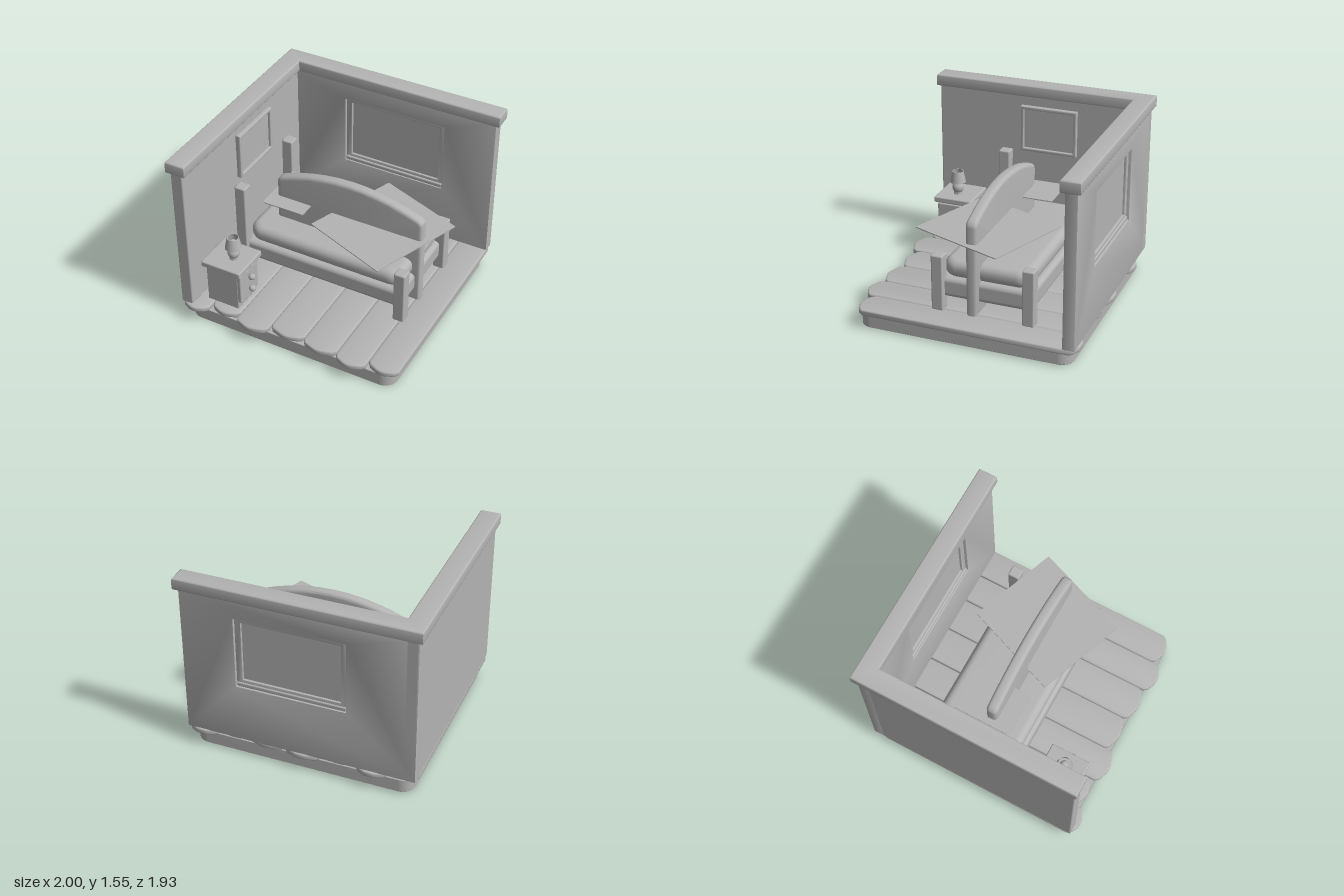
import * as THREE from 'three';
import { toCreasedNormals } from 'three/addons/utils/BufferGeometryUtils.js';
import { RoundedBoxGeometry } from 'three/addons/geometries/RoundedBoxGeometry.js';

export function createModel() {
  const room = new THREE.Group();
  room.name = 'bedroom';
  const clay = new THREE.MeshStandardMaterial({ color: 0xb4b4b4, side: THREE.DoubleSide });
  clay.name = 'clay grey';

  const add = (name, geometry) => {
    const mesh = new THREE.Mesh(geometry, clay);
    mesh.name = name;
    room.add(mesh);
    return mesh;
  };

  // Rounded block given by its extents on each axis
  const block = (name, [x0, x1], [y0, y1], [z0, z1], r = 0.012, seg = 3) => {
    const mesh = add(name, new RoundedBoxGeometry(x1 - x0, y1 - y0, z1 - z0, seg, r));
    mesh.position.set((x0 + x1) / 2, (y0 + y1) / 2, (z0 + z1) / 2);
    return mesh;
  };

  const polygon = (points) => new THREE.Shape(points.map(([x, y]) => new THREE.Vector2(x, y)));

  const rectangle = (x0, x1, y0, y1, r = 0) => {
    if (!r) return polygon([[x0, y0], [x1, y0], [x1, y1], [x0, y1]]);
    const s = new THREE.Shape();
    s.absarc(x1 - r, y0 + r, r, -Math.PI / 2, 0);
    s.absarc(x1 - r, y1 - r, r, 0, Math.PI / 2);
    s.absarc(x0 + r, y1 - r, r, Math.PI / 2, Math.PI);
    s.absarc(x0 + r, y0 + r, r, Math.PI, Math.PI * 1.5);
    s.closePath();
    return s;
  };

  // Bevelled extrusion filling a given thickness, starting at z = 0
  const extrude = (shape, thickness, bevel, bevelSegments = 3) => {
    const g = new THREE.ExtrudeGeometry(shape, {
      depth: thickness - 2 * bevel, bevelEnabled: bevel > 0, bevelThickness: bevel,
      bevelSize: bevel, bevelOffset: -bevel, bevelSegments, curveSegments: 10,
    });
    return toCreasedNormals(g.translate(0, 0, bevel), 0.7);
  };

  // Horizontal slab whose outline is drawn in x and z
  const slab = (name, shape, y0, y1, bevel, seg) => {
    const g = extrude(shape, y1 - y0, bevel, seg).rotateX(Math.PI / 2);
    return add(name, g.translate(0, y1, 0));
  };

  // Base and floor planks with bowed ends
  slab('base', rectangle(-0.93, 0.93, -0.9, 0.89, 0.11), 0, 0.118, 0.004, 1);
  const seams = [-0.97, -0.73, -0.467, -0.175, 0.133, 0.438, 0.703, 0.968];
  const frontEnds = [0.965, 0.9, 0.96, 0.905, 0.93, 0.96, 0.905];
  frontEnds.forEach((front, i) => {
    const a = seams[i] + 0.002, b = seams[i + 1] - 0.002, m = (a + b) / 2;
    const back = front - 1.865;
    const outline = polygon([
      [a, back + 0.07], [a + 0.025, back + 0.035], [m - 0.04, back + 0.006], [m + 0.04, back + 0.006],
      [b - 0.025, back + 0.035], [b, back + 0.07],
      [b, front - 0.07], [b - 0.025, front - 0.035], [m + 0.04, front - 0.006], [m, front],
      [m - 0.04, front - 0.006], [a + 0.025, front - 0.035], [a, front - 0.07],
    ]);
    slab('floorPlank', outline, 0.115, 0.166, 0.014);
  });

  // Walls, with a window opening in the back one
  block('leftWall', [-0.97, -0.865], [0.16, 1.46], [-0.94, 0.93]);
  const backWall = rectangle(-0.97, 0.965, 0.16, 1.46);
  backWall.holes.push(rectangle(-0.4, 0.515, 0.665, 1.285));
  add('backWall', extrude(backWall, 0.1, 0.006, 2).translate(0, 0, -0.94));

  // Cap running along both walls
  slab('wallCap', polygon([
    [-1, -0.97], [1, -0.97], [1, -0.81], [-0.83, -0.81], [-0.83, 0.95], [-1, 0.95],
  ]), 1.45, 1.55, 0.012);

  // Window
  const windowFrame = rectangle(-0.41, 0.525, 0.655, 1.295);
  windowFrame.holes.push(rectangle(-0.35, 0.465, 0.725, 1.245));
  add('windowFrame', extrude(windowFrame, 0.05, 0.006, 2).translate(0, 0, -0.915));
  block('windowPane', [-0.36, 0.475], [0.715, 1.255], [-0.895, -0.885], 0.002, 1);
  block('windowSill', [-0.4, 0.515], [0.66, 0.7], [-0.925, -0.85], 0.012);

  // Picture on the left wall
  const pictureFrame = rectangle(-0.17, 0.33, 0.96, 1.365);
  pictureFrame.holes.push(rectangle(-0.142, 0.302, 0.988, 1.337));
  add('pictureFrame', extrude(pictureFrame, 0.045, 0.008).rotateY(Math.PI / 2).translate(-0.867, 0, 0));
  block('picture', [-0.867, -0.845], [0.98, 1.345], [-0.31, 0.15], 0.002, 1);

  // Bed posts, frame and mattress
  for (const z of [-0.485, 0.278]) {
    block('tallBedPost', [-0.8, -0.703], [0.166, 0.98], [z - 0.049, z + 0.049]);
    block('shortBedPost', [0.65, 0.747], [0.166, 0.64], [z - 0.049, z + 0.049]);
  }
  block('bedFrame', [-0.76, 0.7], [0.27, 0.44], [-0.505, 0.295], 0.04, 5);
  slab('mattress', rectangle(-0.73, 0.675, -0.475, 0.27, 0.12), 0.43, 0.58, 0.065, 6);

  // Arched board standing lengthwise through the bed
  const arch = new THREE.Shape();
  arch.moveTo(-0.575, 0.166);
  arch.lineTo(0.745, 0.166);
  arch.lineTo(0.745, 0.92);
  arch.quadraticCurveTo(0.745, 0.965, 0.69, 0.985);
  arch.bezierCurveTo(0.29, 1.143, -0.12, 1.143, -0.52, 0.985);
  arch.quadraticCurveTo(-0.575, 0.965, -0.575, 0.92);
  arch.closePath();
  add('archedBoard', extrude(arch, 0.095, 0.03, 4).translate(0, 0, -0.062));

  // Flat floating pillow and blanket sheets
  slab('pillowSheet', rectangle(-0.63, -0.255, -0.32, 0.172, 0.015), 0.781, 0.789, 0);
  const blanket = slab('blanketSheet', rectangle(-0.393, 0.393, -0.425, 0.425, 0.006), -0.004, 0.004, 0);
  blanket.position.set(0.38, 0.785, -0.02);
  blanket.rotation.y = -0.36;

  // Nightstand with its drawer facing the bed side
  block('nightstandBody', [-0.79, -0.5], [0.166, 0.53], [0.528, 0.808], 0.008);
  block('nightstandTop', [-0.82, -0.46], [0.513, 0.565], [0.488, 0.836]);
  block('nightstandDrawer', [-0.51, -0.472], [0.235, 0.505], [0.54, 0.806], 0.01);
  for (const y of [0.31, 0.43]) {
    add('drawerKnob', new THREE.SphereGeometry(0.028, 20, 14)).position.set(-0.447, y, 0.672);
  }

  // Lamp: turned body, bulb and open shade
  const lathe = (name, points, segments = 28) => {
    const profile = points.map(([r, y]) => new THREE.Vector2(r, y));
    const mesh = add(name, toCreasedNormals(new THREE.LatheGeometry(profile, segments), 0.7));
    mesh.position.set(-0.61, 0.563, 0.67);
    return mesh;
  };
  lathe('lampBody', [
    [0, 0], [0.038, 0], [0.038, 0.012], [0.036, 0.022], [0.045, 0.034], [0.051, 0.055],
    [0.048, 0.077], [0.036, 0.095], [0.022, 0.105], [0.022, 0.13], [0, 0.13],
  ]);
  lathe('lampShade', [
    [0.064, 0.11], [0.069, 0.11], [0.049, 0.21], [0.044, 0.21], [0.064, 0.11],
  ]);
  add('lampBulb', new THREE.SphereGeometry(0.033, 20, 14)).position.set(-0.61, 0.715, 0.67);

  return room;
}
